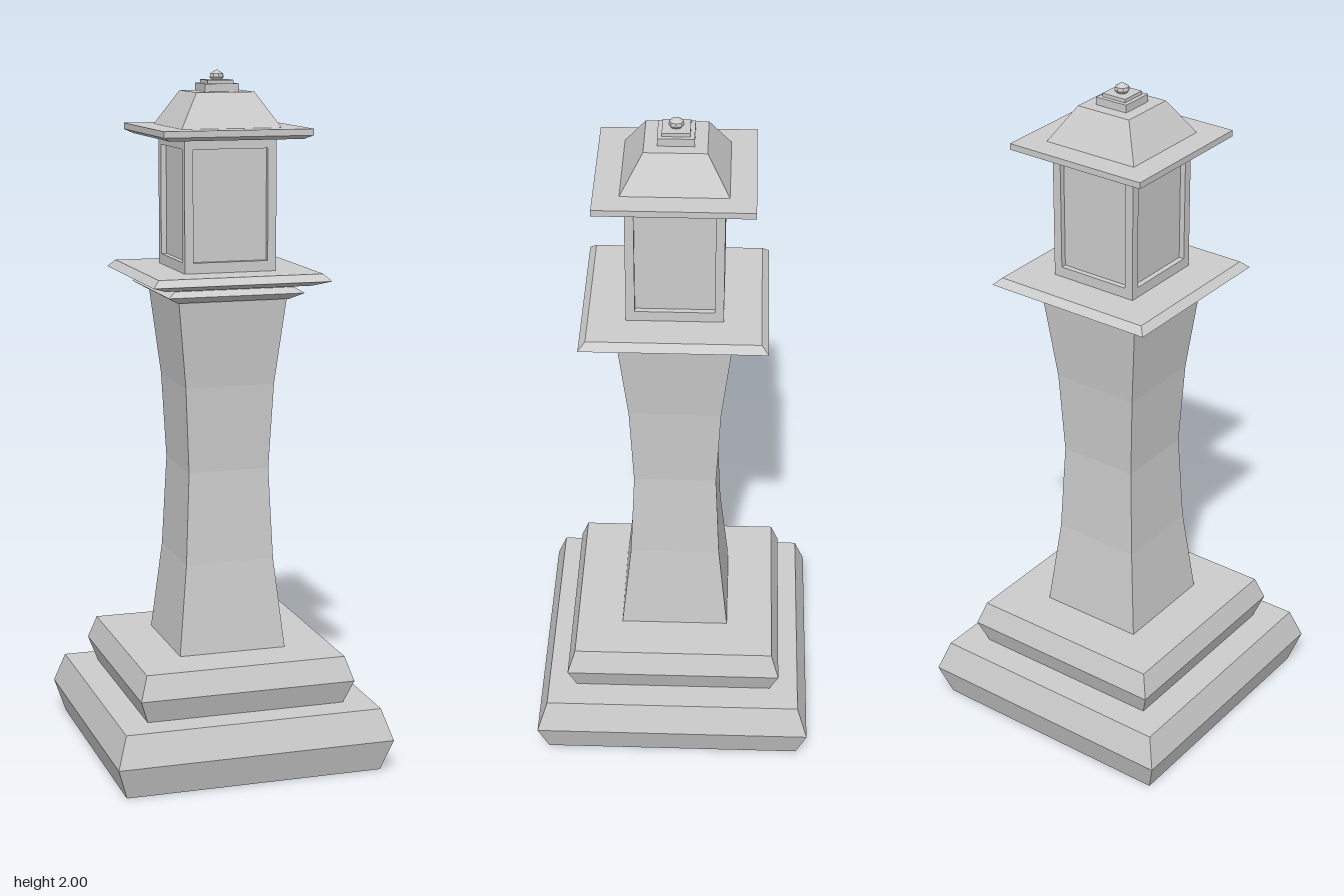
import * as THREE from 'three';

export function createModel() {
  const model = new THREE.Group();
  const stone = new THREE.MeshStandardMaterial({ color: 0xcccccc, flatShading: true });
  const pane = new THREE.MeshStandardMaterial({ color: 0xf6f6f6, flatShading: true });

  const add = (name, geometry, material = stone, parent = model) => {
    const mesh = new THREE.Mesh(geometry, material);
    mesh.name = name;
    parent.add(mesh);
    return mesh;
  };

  // Closed square solid from [half width, height] pairs, bottom to top
  const square = (name, profile) => {
    const pts = profile.map(([w, y]) => new THREE.Vector2(w * Math.SQRT2, y));
    pts.unshift(new THREE.Vector2(0, profile[0][1]));
    pts.push(new THREE.Vector2(0, profile[profile.length - 1][1]));
    return add(name, new THREE.LatheGeometry(pts, 4).rotateY(Math.PI / 4));
  };

  // Stepped plinth
  square('lowerPlinth', [[0.38, 0], [0.41, 0.095], [0.38, 0.185]]);
  square('upperPlinth', [[0.295, 0.185], [0.32, 0.255], [0.297, 0.325]]);

  // Waisted shaft
  square('shaft', [[0.16, 0.325], [0.132, 0.59], [0.12, 0.86], [0.132, 1.11], [0.16, 1.365]]);

  // Collar and lantern shelf
  square('collar', [[0.165, 1.36], [0.2, 1.38], [0.175, 1.395], [0.175, 1.405]]);
  square('shelf', [[0.215, 1.402], [0.26, 1.418], [0.24, 1.438]]);

  // Lantern: recessed panes inside corner posts and rails
  const lantern = new THREE.Group();
  lantern.name = 'lantern';
  model.add(lantern);
  const bottom = 1.438, top = 1.815, half = 0.135, bar = 0.025, sill = 0.03;
  const height = top - bottom, opening = 2 * (half - bar);
  for (let i = 0; i < 4; i++) {
    const side = new THREE.Group();
    side.name = 'lanternSide';
    side.rotation.y = i * Math.PI / 2;
    lantern.add(side);
    const edge = half - bar / 2;
    add('post', new THREE.BoxGeometry(bar, height, bar), stone, side)
      .position.set(edge, (bottom + top) / 2, edge);
    for (const y of [bottom + sill / 2, top - sill / 2]) {
      add('rail', new THREE.BoxGeometry(opening, sill, bar), stone, side).position.set(0, y, edge);
    }
    add('pane', new THREE.BoxGeometry(opening, height - 2 * sill, 0.005), pane, side)
      .position.set(0, (bottom + top) / 2, half - 0.0185);
  }

  // Roof with flat eaves and stepped cap
  square('eaves', [[0.195, 1.813], [0.217, 1.824], [0.217, 1.842]]);
  square('roof', [[0.146, 1.842], [0.085, 1.94]]);
  square('lowerCap', [[0.05, 1.94], [0.05, 1.962]]);
  square('upperCap', [[0.038, 1.962], [0.038, 1.972]]);

  // Small eight-sided finial
  const knob = [[0, 1.97], [0.014, 1.97], [0.021, 1.979], [0.019, 1.989], [0.008, 1.996], [0, 2]];
  add('finial', new THREE.LatheGeometry(knob.map(([r, y]) => new THREE.Vector2(r, y)), 8));

  return model;
}
